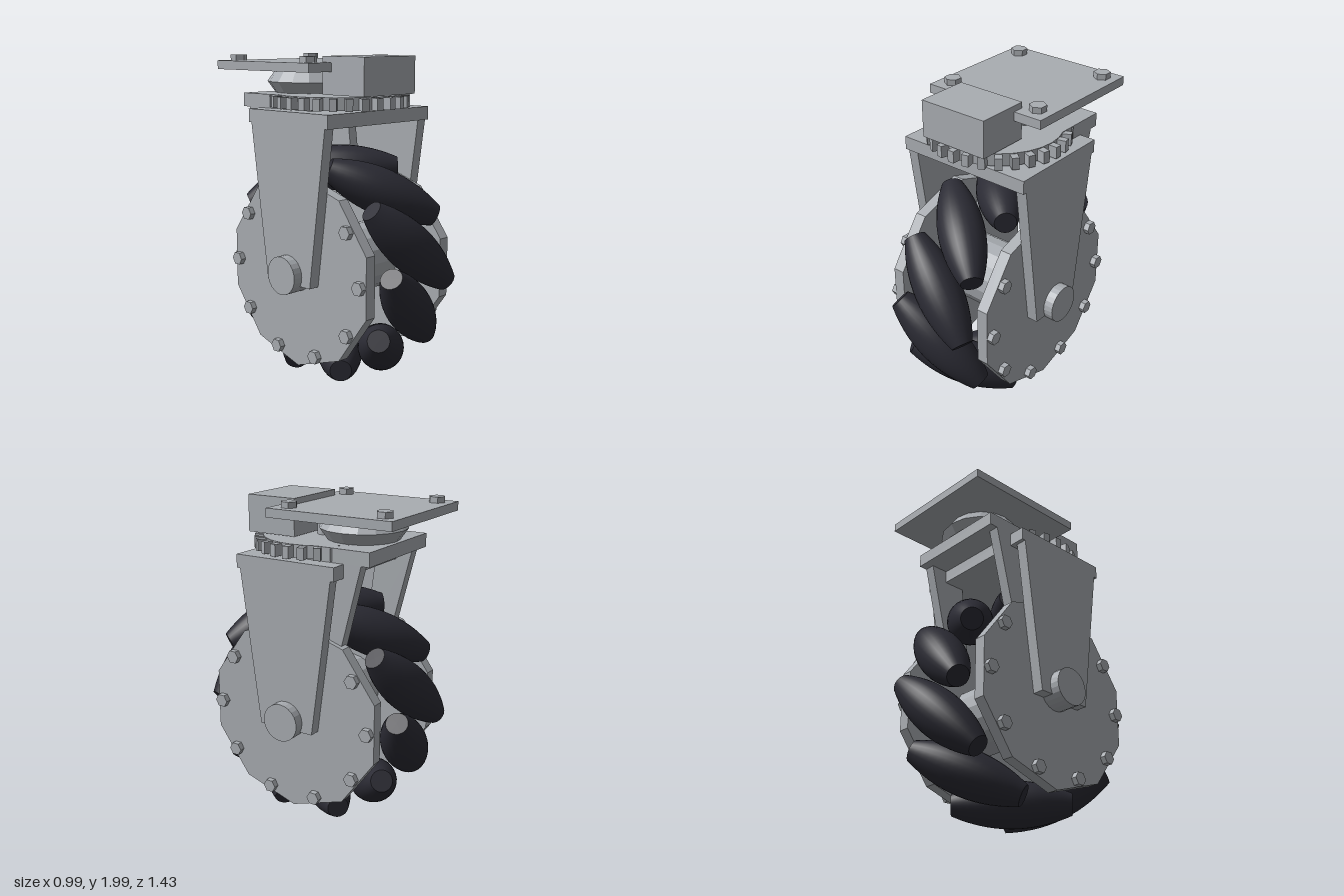
import * as THREE from 'three';

export function createModel() {
  const model = new THREE.Group();
  const metal = new THREE.MeshStandardMaterial({ color: 0xa9adb2 });
  const rubber = new THREE.MeshStandardMaterial({ color: 0x2b2b34 });
  metal.name = 'grey metal';
  rubber.name = 'dark rubber';
  metal.flatShading = true;

  const AXLE_Y = 0.735;
  const add = (name, geo, mat = metal, parent = model) => {
    const mesh = new THREE.Mesh(geo, mat);
    mesh.name = name;
    parent.add(mesh);
    return mesh;
  };
  // box given by its limits on each axis
  const block = (name, x0, x1, y0, y1, z0, z1) =>
    add(name, new THREE.BoxGeometry(x1 - x0, y1 - y0, z1 - z0)
      .translate((x0 + x1) / 2, (y0 + y1) / 2, (z0 + z1) / 2));
  // cylinder lying along x between x0 and x1
  const rod = (r, x0, x1, sides) =>
    new THREE.CylinderGeometry(r, r, x1 - x0, sides).rotateZ(-Math.PI / 2).translate((x0 + x1) / 2, 0, 0);
  // plate with a side outline of [z, y] points, between x0 and x1
  const sidePlate = (name, points, x0, x1) => {
    const shape = new THREE.Shape(points.map(([z, y]) => new THREE.Vector2(-z, y)));
    const geo = new THREE.ExtrudeGeometry(shape, { depth: x1 - x0, bevelEnabled: false });
    return add(name, geo.rotateY(Math.PI / 2).translate(x0, 0, 0));
  };

  // Wheel: hub, two ten-sided discs with bolts, and angled rollers
  const wheel = new THREE.Group();
  wheel.name = 'wheel';
  wheel.position.y = AXLE_Y;
  model.add(wheel);
  add('hub', rod(0.215, -0.3, 0.3, 16), metal, wheel);
  for (const s of [-1, 1]) {
    const span = (a, b) => (s > 0 ? [a, b] : [-b, -a]);
    add('wheelDisc', rod(0.585, ...span(0.293, 0.365), 10).rotateX(Math.PI / 10), metal, wheel);
    add('axleCap', rod(0.115, ...span(0.365, 0.497), 24), metal, wheel);
    for (let i = 0; i < 10; i++) {
      const a = (i * Math.PI) / 5;
      add('discBolt', rod(0.042, ...span(0.36, 0.4), 6), metal, wheel)
        .position.set(0, 0.515 * Math.sin(a), 0.515 * Math.cos(a));
    }
  }

  // barrel roller: smooth side and separate flat ends
  const HALF = 0.35;
  const profile = [];
  for (let i = 0; i <= 14; i++) {
    const t = -1 + i / 7;
    profile.push(new THREE.Vector2(0.14 - 0.075 * t * t, t * HALF));
  }
  const barrel = new THREE.LatheGeometry(profile, 28);
  const endCap = new THREE.CircleGeometry(0.065, 28).rotateX(-Math.PI / 2).translate(0, HALF, 0);
  const up = new THREE.Vector3(0, 1, 0);
  for (let i = 0; i < 10; i++) {
    const a = Math.PI / 10 + (i * Math.PI) / 5;
    const roller = new THREE.Group();
    roller.name = 'roller';
    roller.position.set(0, 0.59 * Math.sin(a), 0.59 * Math.cos(a));
    const axis = new THREE.Vector3(-1, Math.cos(a), -Math.sin(a)).normalize();
    roller.quaternion.setFromUnitVectors(up, axis);
    wheel.add(roller);
    add('rollerBarrel', barrel, rubber, roller);
    add('rollerEnd', endCap, rubber, roller);
    add('rollerEnd', endCap, rubber, roller).rotation.x = Math.PI;
  }

  // Main fork and the raked inner fork behind it
  block('forkCrown', -0.437, 0.437, 1.61, 1.69, -0.33, 0.33);
  block('rearCrown', -0.335, 0.335, 1.69, 1.772, -0.493, 0.1);
  for (const s of [-1, 1]) {
    const [a, b] = s > 0 ? [0.368, 0.437] : [-0.437, -0.368];
    sidePlate('forkLeg', [[0.307, 1.61], [-0.307, 1.61], [-0.18, 0.677], [0.18, 0.677]], a, b);
    const [c, d] = s > 0 ? [0.268, 0.335] : [-0.335, -0.268];
    sidePlate('rearStrut', [[-0.2, 1.69], [-0.44, 1.69], [-0.28, 1.06], [-0.12, 1.06]], c, d);
  }

  // Steering gear with 28 teeth
  add('gearBody', new THREE.CylinderGeometry(0.37, 0.37, 0.075, 28).translate(0, 1.735, 0));
  for (let i = 0; i < 28; i++) {
    add('gearTooth', new THREE.BoxGeometry(0.042, 0.07, 0.075).translate(0, 1.733, 0.384))
      .rotation.y = (i * Math.PI * 2) / 28;
  }

  // Swivel bearing, drive housing and mounting plate
  add('bearingLower', new THREE.CylinderGeometry(0.26, 0.21, 0.07, 16).translate(0, 1.77 + 0.035, -0.26));
  add('bearingUpper', new THREE.CylinderGeometry(0.21, 0.26, 0.07, 16).translate(0, 1.84 + 0.035, -0.26));
  add('driveShaft', new THREE.CylinderGeometry(0.05, 0.05, 0.15, 12).translate(0, 1.84, 0));
  block('driveHousing', -0.22, 0.22, 1.78, 2, 0.075, 0.4);
  block('mountPlate', -0.4, 0.4, 1.912, 1.965, -0.66, 0.145);
  for (const x of [-0.308, 0.308]) {
    for (const z of [-0.567, 0.048]) {
      add('plateBolt', new THREE.CylinderGeometry(0.05, 0.05, 0.04, 6)).position.set(x, 1.98, z);
    }
  }
  return model;
}
